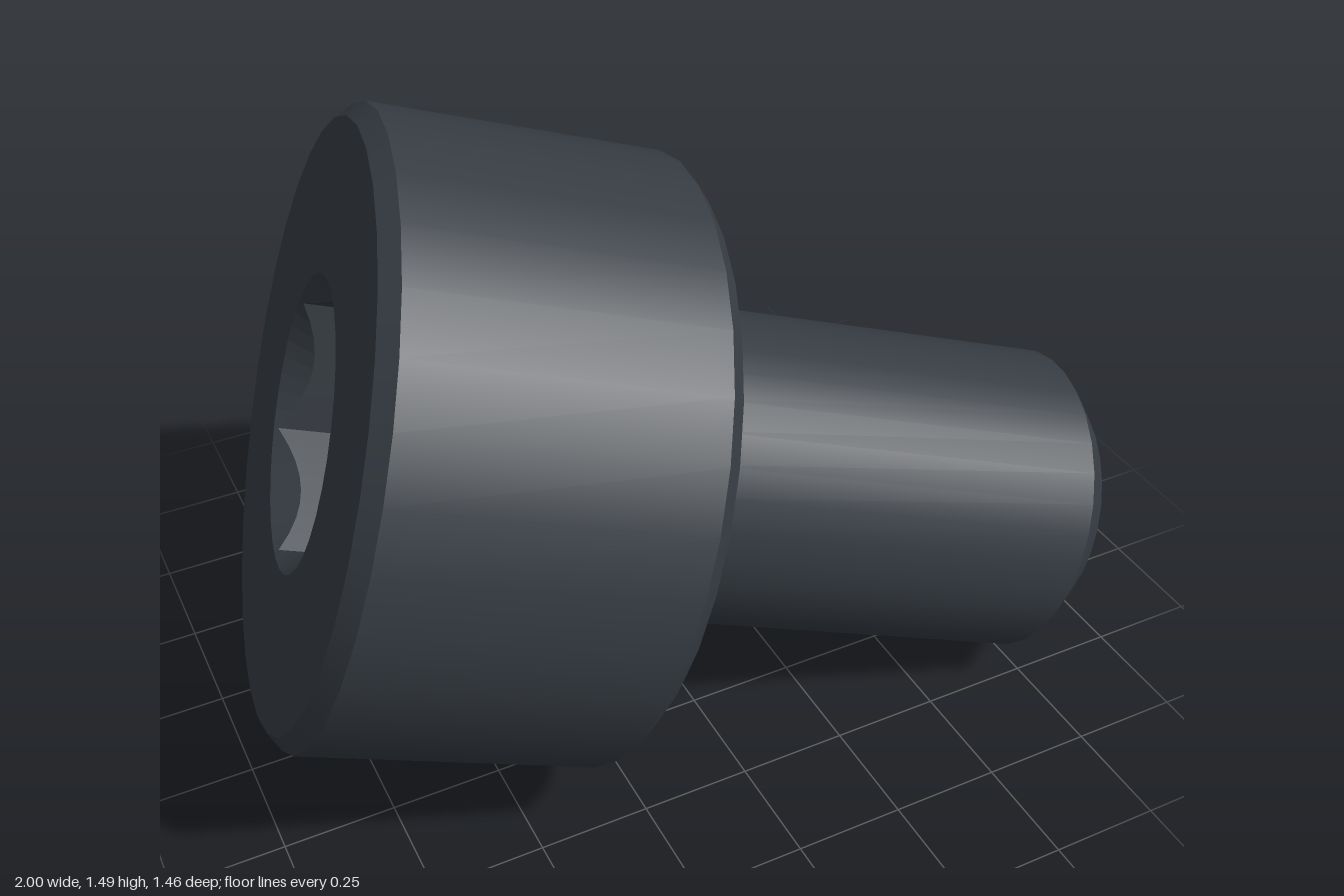
import * as THREE from 'three';

const SIDES = 32;
const HEAD_FACE = 1.785;   // height of the drive face above the tip
const SOCKET_FLAT = 0.2675; // half distance across flats
const SOCKET_RIM = 0.316;
const SOCKET_FLOOR = HEAD_FACE - 0.45;

export function createModel() {
  const steel = new THREE.MeshStandardMaterial({ color: 0x363c43 });
  steel.name = 'blackSteel';
  const model = new THREE.Group();
  model.name = 'socketHeadScrew';

  const add = (name, geometry) => {
    const mesh = new THREE.Mesh(geometry, steel);
    mesh.name = name;
    model.add(mesh);
  };
  // Each surface of revolution is its own mesh, so edges between them stay sharp
  const turn = (name, ...points) =>
    add(name, new THREE.LatheGeometry(points.map(p => new THREE.Vector2(p[0], p[1])), SIDES));

  // Shank
  turn('shankTip', [0, 0], [0.285, 0]);
  turn('shankChamfer', [0.285, 0], [0.357, 0.072]);
  turn('shank', [0.357, 0.072], [0.357, 1.03]);
  const fillet = [];
  for (let i = 0; i <= 5; i++) {
    const a = (i / 5) * Math.PI / 2;
    fillet.push([0.397 - 0.04 * Math.cos(a), 1.03 + 0.04 * Math.sin(a)]);
  }
  turn('shankFillet', ...fillet);

  // Head
  turn('headUnderside', [0.397, 1.07], [0.643, 1.07]);
  turn('headLowerChamfer', [0.643, 1.07], [0.678, 1.105]);
  turn('headSide', [0.678, 1.105], [0.678, 1.75]);
  turn('headUpperChamfer', [0.678, 1.75], [0.643, HEAD_FACE]);
  turn('headFace', [0.643, HEAD_FACE], [SOCKET_RIM, HEAD_FACE]);

  // Hexagonal socket: six walls, each with a slice of conical countersink and floor
  const wallSteps = 8;
  const countersink = [], walls = [], floor = [];
  const start = THREE.MathUtils.degToRad(12);
  const at = (r, y, a) => [r * Math.cos(a), y, r * Math.sin(a)];
  const quad = (out, a, b, c, d) => out.push(...a, ...b, ...c, ...a, ...c, ...d);
  const section = (side, step) => {
    const off = (step / wallSteps - 0.5) * Math.PI / 3;
    const a = start + (side + 0.5) * Math.PI / 3 + off;
    const r = SOCKET_FLAT / Math.cos(off);
    const y = HEAD_FACE - (SOCKET_RIM - r) * 1.2;
    return { rim: at(SOCKET_RIM, HEAD_FACE, a), lip: at(r, y, a), base: at(r, SOCKET_FLOOR, a) };
  };
  for (let side = 0; side < 6; side++) {
    for (let step = 0; step < wallSteps; step++) {
      const p = section(side, step), q = section(side, step + 1);
      quad(countersink, p.rim, q.rim, q.lip, p.lip);
      quad(walls, p.lip, q.lip, q.base, p.base);
      floor.push(...p.base, ...q.base, 0, SOCKET_FLOOR, 0);
    }
  }
  // Corners run so that the faces look inward and up out of the socket
  const surface = (name, list) => {
    const flipped = [];
    for (let i = 0; i < list.length; i += 9) {
      const t = list.slice(i, i + 9);
      const [a, b, c] = [0, 3, 6].map(k => new THREE.Vector3(t[k], t[k + 1], t[k + 2]));
      const n = b.clone().sub(a).cross(c.clone().sub(a));
      const inward = n.y * 1 - n.x * (a.x + b.x + c.x) - n.z * (a.z + b.z + c.z);
      flipped.push(...(inward > 0 ? t : [...t.slice(0, 3), ...t.slice(6), ...t.slice(3, 6)]));
    }
    const g = new THREE.BufferGeometry();
    g.setAttribute('position', new THREE.Float32BufferAttribute(flipped, 3));
    g.computeVertexNormals();
    add(name, g);
  };
  surface('socketCountersink', countersink);
  surface('socketWalls', walls);
  surface('socketFloor', floor);

  // Lean the screw: local y points from the tip to the drive face
  const up = new THREE.Vector3(-0.933, 0.297, -0.2025).normalize();
  const across = new THREE.Vector3(-1, 0, 1).normalize();
  across.addScaledVector(up, -across.dot(up)).normalize();
  const third = new THREE.Vector3().crossVectors(across, up);
  model.quaternion.setFromRotationMatrix(new THREE.Matrix4().makeBasis(across, up, third));
  model.position.set(0.9, 0.322, 0.286);

  const root = new THREE.Group();
  root.name = 'screw';
  root.add(model);
  return root;
}
